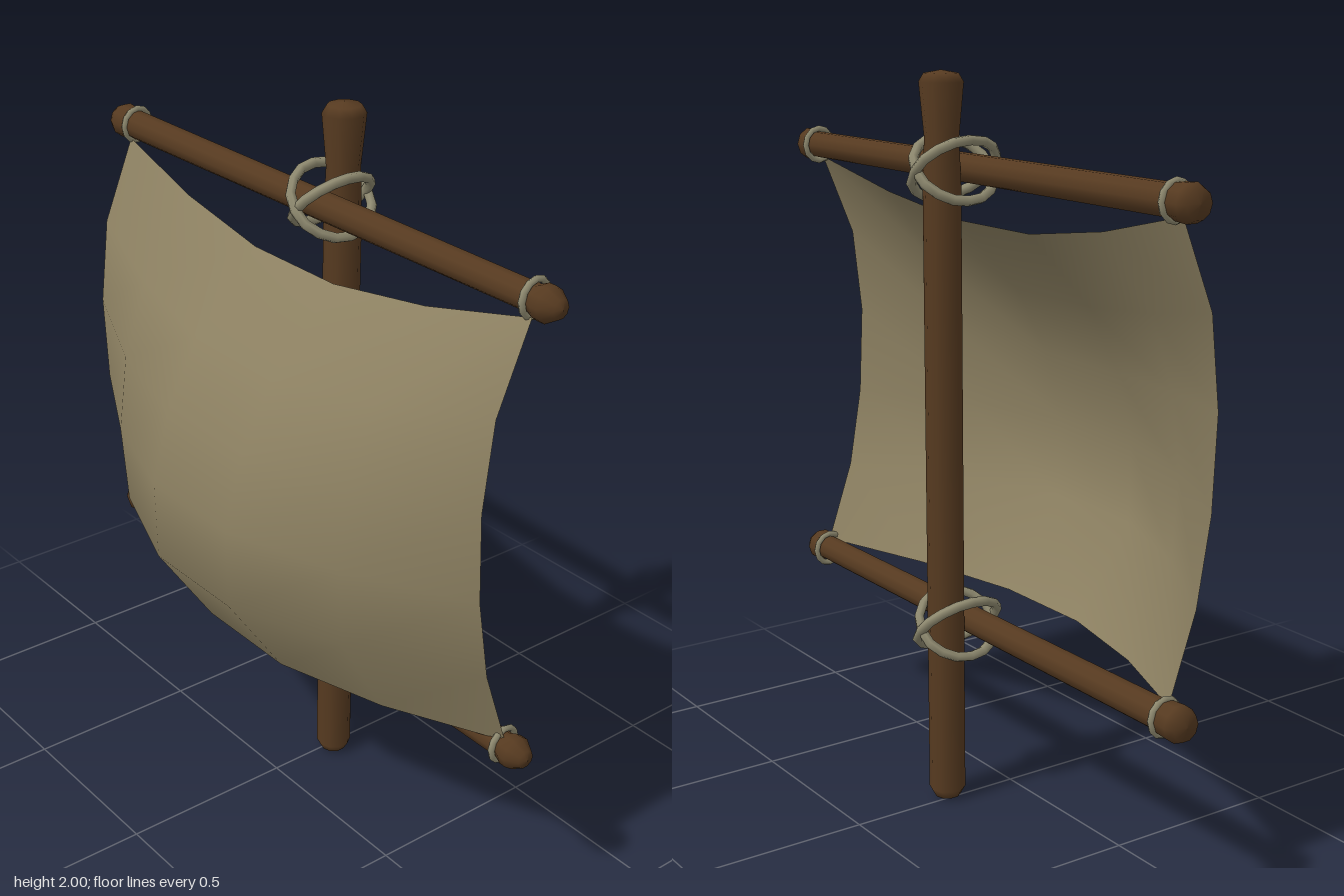
import * as THREE from 'three';

export function createModel() {
  const model = new THREE.Group();
  const material = (name, color, side = THREE.FrontSide) => {
    const m = new THREE.MeshStandardMaterial({ color, side });
    m.name = name;
    return m;
  };
  const wood = material('dark wood', 0x563a20);
  const rope = material('pale rope', 0x8f8a70);
  const canvas = material('canvas', 0x8c8061, THREE.DoubleSide);

  const add = (name, geometry, mat, x = 0, y = 0, z = 0) => {
    const mesh = new THREE.Mesh(geometry, mat);
    mesh.name = name;
    mesh.position.set(x, y, z);
    model.add(mesh);
    return mesh;
  };
  const lathe = (profile, sides) =>
    new THREE.LatheGeometry(profile.map(([r, y]) => new THREE.Vector2(r, y)), sides);

  // Mast, flared at the top
  add('mast', lathe([
    [0, 0], [0.036, 0.005], [0.05, 0.03], [0.05, 1.7], [0.045, 1.83],
    [0.058, 1.97], [0.045, 1.992], [0, 2],
  ], 10), wood, 0.017, 0, -0.203);

  // Closed rope loop, tilted so that two of them cross front and back
  const lashing = (side, grow) => {
    const points = [];
    for (let i = 0; i < 8; i++) {
      const a = ((i + 0.5) / 8) * Math.PI * 2;
      const s = Math.cos(a) * grow;
      points.push(new THREE.Vector3(side * s * 0.07, s * 0.076, Math.sin(a) * 0.116 * grow));
    }
    const curve = new THREE.CatmullRomCurve3(points, true);
    return new THREE.TubeGeometry(curve, 16, 0.014, 6, true);
  };

  // Yards with thickened ends, lashings and sail ties
  const yardProfile = [
    [0, -0.9], [0.038, -0.895], [0.049, -0.87], [0.046, -0.83], [0.041, -0.81],
    [0.039, 0], [0.037, 0.81], [0.046, 0.83], [0.046, 0.85], [0.025, 0.885], [0, 0.892],
  ];
  for (const [label, y] of [['upper', 1.747], ['lower', 0.506]]) {
    add(label + 'Yard', lathe(yardProfile, 10), wood, 0, y, -0.12).rotation.z = -Math.PI / 2;
    add(label + 'LashingA', lashing(1, 1), rope, 0.015, y, -0.167);
    add(label + 'LashingB', lashing(-1, 1.05), rope, 0.015, y, -0.167);
    for (const x of [-0.817, 0.8]) {
      const tie = add(label + 'SailTie', new THREE.TorusGeometry(0.046, 0.009, 6, 12), rope, x, y, -0.122);
      tie.rotation.y = Math.PI / 2 + 0.08;
    }
  }

  // Billowing sail: [y, z] down the side edge and down the middle, blended across
  const edge = [[1.71, -0.1], [1.48, -0.005], [1.24, 0.022], [0.99, 0.01], [0.76, -0.03], [0.53, -0.11]];
  const middle = [[1.59, -0.055], [1.38, 0.14], [1.19, 0.24], [0.99, 0.292], [0.76, 0.285], [0.505, 0.11]];
  const bulge = [0, 0.62, 1, 1, 0.62, 0];
  const sail = new THREE.PlaneGeometry(1.635, 1, 5, 5);
  const pos = sail.attributes.position;
  for (let row = 0; row < 6; row++) {
    for (let col = 0; col < 6; col++) {
      const mix = (k) => THREE.MathUtils.lerp(edge[row][k], middle[row][k], bulge[col]);
      const i = row * 6 + col;
      pos.setXYZ(i, pos.getX(i), mix(0), mix(1));
    }
  }
  sail.computeVertexNormals();
  add('sail', sail, canvas);

  return model;
}
